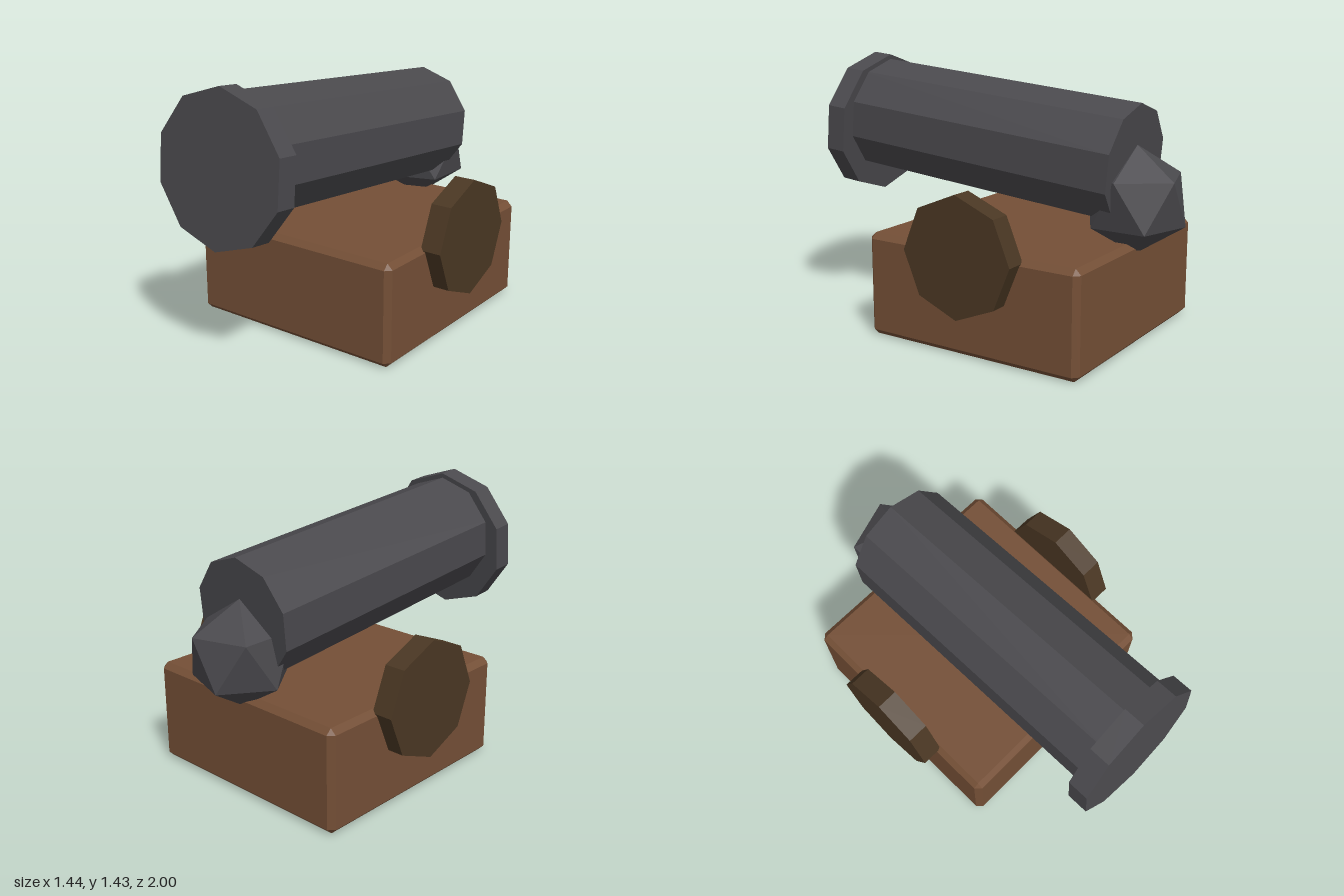
import * as THREE from 'three';
import { ConvexGeometry } from 'three/addons/geometries/ConvexGeometry.js';

const TILT = THREE.MathUtils.degToRad(5);

function material(name, color) {
  const m = new THREE.MeshStandardMaterial({ color, flatShading: true });
  m.name = name;
  return m;
}

// Box with every edge cut at 45 degrees
function chamferedBox(w, h, d, c) {
  const pts = [];
  for (const sx of [-1, 1]) for (const sy of [-1, 1]) for (const sz of [-1, 1]) {
    const x = w / 2, y = h / 2, z = d / 2;
    pts.push(
      new THREE.Vector3(sx * x, sy * (y - c), sz * (z - c)),
      new THREE.Vector3(sx * (x - c), sy * y, sz * (z - c)),
      new THREE.Vector3(sx * (x - c), sy * (y - c), sz * z));
  }
  return new ConvexGeometry(pts);
}

// Twenty-sided ball standing on a pole, two five-point rings between
function facetedBall(r) {
  const pts = [new THREE.Vector3(0, r, 0), new THREE.Vector3(0, -r, 0)];
  const ring = r * 0.8944, level = r * 0.4472;
  for (let i = 0; i < 5; i++) {
    const a = i * Math.PI * 0.4;
    pts.push(
      new THREE.Vector3(ring * Math.cos(a), level, ring * Math.sin(a)),
      new THREE.Vector3(-ring * Math.cos(a), -level, ring * Math.sin(a)));
  }
  return new ConvexGeometry(pts);
}

export function createModel() {
  const model = new THREE.Group();
  model.name = 'cannon';
  const wood = material('wood', 0x744f36);
  const darkWood = material('darkWood', 0x4a3723);
  const iron = material('iron', 0x4a494d);

  const add = (name, geometry, mat, x, y, z) => {
    const mesh = new THREE.Mesh(geometry, mat);
    mesh.name = name;
    mesh.position.set(x, y, z);
    model.add(mesh);
    return mesh;
  };

  // Carriage block
  add('carriage', chamferedBox(1.26, 0.555, 1.26, 0.03), wood, 0, 0.2775, -0.16);

  // Wheels
  for (const s of [-1, 1]) {
    const wheel = add(s > 0 ? 'leftWheel' : 'rightWheel',
      new THREE.CylinderGeometry(0.315, 0.315, 0.115, 8), darkWood, s * 0.6625, 0.535, -0.16);
    wheel.rotation.z = Math.PI / 2;
  }

  // Barrel and muzzle ring, both raised at the front
  const barrel = add('barrel', new THREE.CylinderGeometry(0.315, 0.315, 1.65, 10), iron, 0, 1.013, 0.07);
  const muzzle = add('muzzle', new THREE.CylinderGeometry(0.394, 0.394, 0.115, 10), iron, 0, 1.033, 0.908);
  barrel.rotation.x = muzzle.rotation.x = Math.PI / 2 - TILT;

  // Knob at the breech
  add('breechKnob', facetedBall(0.28), iron, 0, 0.765, -0.762);

  return model;
}
